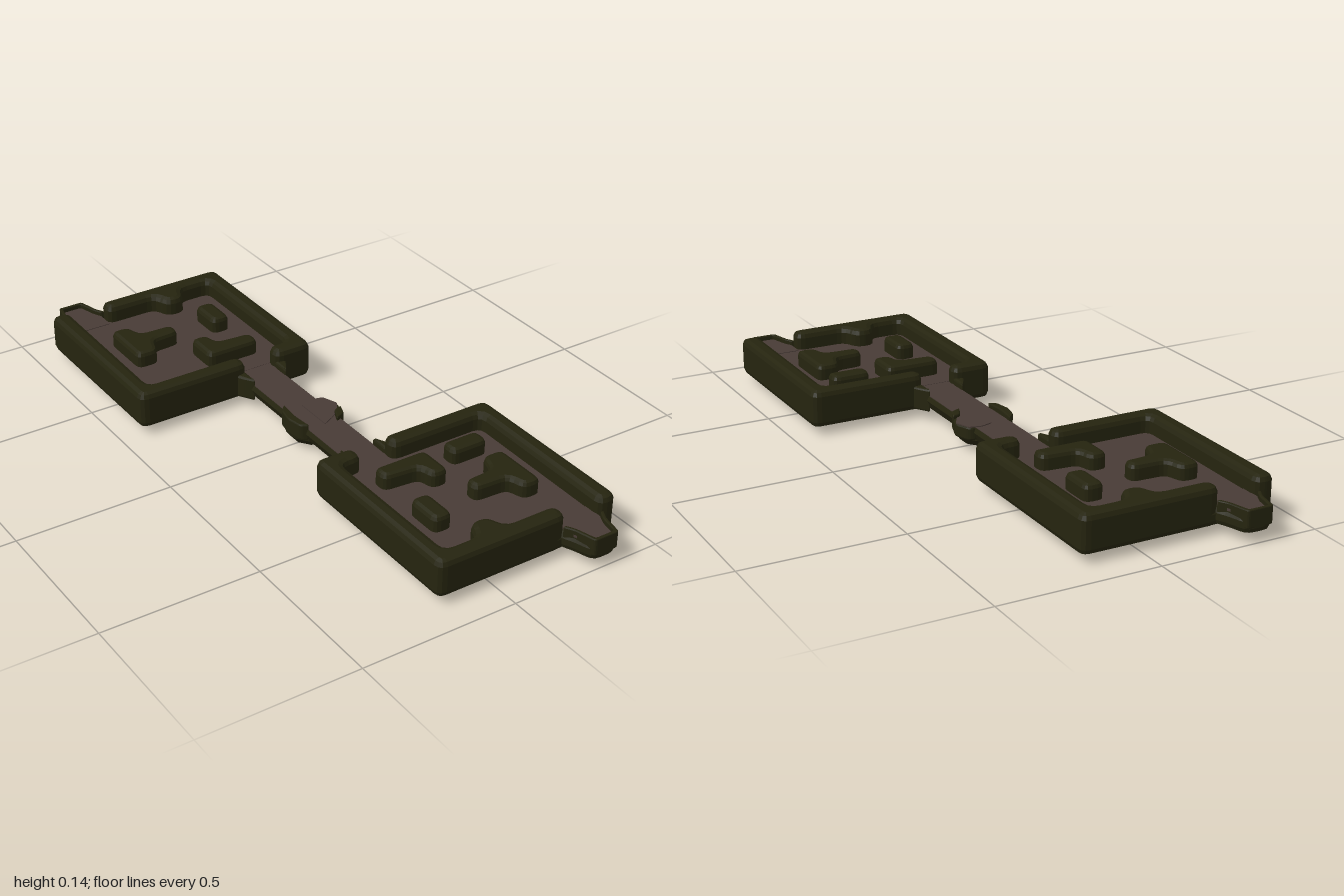
import * as THREE from 'three';

const stone = new THREE.MeshStandardMaterial({ color: 0x25240f });
stone.name = 'darkOliveStone';
const earth = new THREE.MeshStandardMaterial({ color: 0x483b36 });
earth.name = 'brownFloor';

function add(parent, name, geometry, material) {
  const mesh = new THREE.Mesh(geometry, material);
  mesh.name = name;
  parent.add(mesh);
  return mesh;
}

// Closed plan outline of [x, z] corners, each corner rounded by r
function outline(points, r) {
  const shape = new THREE.Shape();
  const v = points.map(([x, z]) => new THREE.Vector2(x, z));
  v.forEach((p, i) => {
    const toward = (q) => {
      const d = q.clone().sub(p);
      return p.clone().addScaledVector(d, Math.min(r / d.length(), 0.45));
    };
    const a = toward(v[(i + v.length - 1) % v.length]);
    const b = toward(v[(i + 1) % v.length]);
    if (i === 0) shape.moveTo(a.x, a.y);
    else shape.lineTo(a.x, a.y);
    shape.quadraticCurveTo(p.x, p.y, b.x, b.y);
  });
  shape.closePath();
  return shape;
}

// Slab between heights y0 and y1 whose softened edges stay inside the outline
function slab(points, y0, y1, bevel = 0, r = bevel * 1.3 + 0.004) {
  const g = new THREE.ExtrudeGeometry(outline(points, r), {
    depth: y1 - y0 - 2 * bevel, curveSegments: 3,
    bevelEnabled: bevel > 0, bevelSize: bevel, bevelThickness: bevel,
    bevelOffset: -bevel, bevelSegments: 2,
  });
  g.rotateX(Math.PI / 2);
  g.translate(0, y1 - bevel, 0);
  return g;
}

const rect = (x0, x1, z0, z1) => [[x0, z0], [x1, z0], [x1, z1], [x0, z1]];

function createRoom(name, withExtraBlock) {
  const room = new THREE.Group();
  room.name = name;

  // Base and floor
  add(room, 'base', slab(rect(-0.18, 0.43, 0.29, 0.9), 0.025, 0.083, 0.02), stone);
  add(room, 'floor', slab(rect(-0.14, 0.39, 0.335, 0.86), 0.08, 0.088), earth);

  // Walls on both sides of the two openings
  add(room, 'longWall', slab([
    [-0.055, 0.29], [-0.185, 0.29], [-0.185, 0.9], [0.25, 0.9], [0.25, 0.843],
    [0.08, 0.843], [0.06, 0.782], [0, 0.782], [-0.02, 0.843],
    [-0.128, 0.843], [-0.128, 0.347], [-0.055, 0.347],
  ], 0.025, 0.145, 0.018), stone);
  add(room, 'shortWall', slab([
    [0.055, 0.29], [0.432, 0.29], [0.432, 0.9], [0.37, 0.9],
    [0.375, 0.347], [0.055, 0.347],
  ], 0.025, 0.145, 0.018), stone);

  // Obstacles
  const obstacles = {
    tBlock: [[0.24, 0.53], [0.31, 0.53], [0.31, 0.715], [0.25, 0.715], [0.235, 0.655],
      [0.125, 0.65], [0.125, 0.6], [0.22, 0.595]],
    cornerBlock: [[-0.06, 0.41], [0.12, 0.41], [0.12, 0.53], [0.065, 0.53],
      [0.055, 0.475], [-0.06, 0.465]],
    uprightBlock: rect(-0.065, -0.003, 0.595, 0.715),
  };
  if (withExtraBlock) obstacles.crossBlock = rect(0.185, 0.31, 0.407, 0.467);
  for (const [key, points] of Object.entries(obstacles)) {
    add(room, key, slab(points, 0.06, 0.138, 0.014), stone);
  }

  // Exit ledge with a thin raised lip
  add(room, 'ledgeBase', slab([
    [0.235, 0.86], [0.4, 0.86], [0.395, 0.9], [0.37, 0.93], [0.355, 1], [0.27, 1], [0.25, 0.93], [0.235, 0.9],
  ], 0.03, 0.086, 0.018), stone);
  add(room, 'ledgeFloor', slab([
    [0.25, 0.84], [0.375, 0.84], [0.372, 0.92], [0.352, 0.99], [0.273, 0.99], [0.25, 0.92],
  ], 0.082, 0.09), earth);
  add(room, 'ledgeLip', slab([
    [0.237, 0.9], [0.254, 0.93], [0.272, 1], [0.355, 1], [0.369, 0.93], [0.385, 0.9],
    [0.373, 0.9], [0.358, 0.93], [0.346, 0.989], [0.281, 0.989], [0.265, 0.93], [0.25, 0.9],
  ], 0.05, 0.105, 0.003, 0.008), stone);

  // Flares where the bridge meets the wall
  for (const s of [-1, 1]) {
    add(room, 'bridgeFlare', slab([
      [s * 0.056, 0.235], [s * 0.056, 0.31], [s * 0.1, 0.31], [s * 0.082, 0.275],
    ], 0.032, 0.108, 0.007), stone);
  }
  return room;
}

function createBridge() {
  const bridge = new THREE.Group();
  bridge.name = 'bridge';

  // Rounded underside running between the rooms
  const section = new THREE.Shape([
    [-0.06, 0.085], [-0.065, 0.07], [-0.052, 0.042], [-0.03, 0.031],
    [0.03, 0.031], [0.052, 0.042], [0.065, 0.07], [0.06, 0.085],
  ].map(([x, y]) => new THREE.Vector2(x, y)));
  const beam = new THREE.ExtrudeGeometry(section, { depth: 0.66, bevelEnabled: false });
  beam.translate(0, 0, -0.33);
  add(bridge, 'beam', beam, stone);
  add(bridge, 'path', slab(rect(-0.058, 0.058, -0.36, 0.36), 0.08, 0.087), earth);

  // Faceted hub in the middle
  const profile = [[0, 0.003], [0.068, 0.019], [0.084, 0.04], [0.086, 0.07], [0.078, 0.085], [0, 0.085]];
  const hub = new THREE.LatheGeometry(profile.map(([x, y]) => new THREE.Vector2(x, y)), 10).toNonIndexed();
  hub.computeVertexNormals();
  add(bridge, 'hub', hub, stone);
  add(bridge, 'hubRim', slab([
    [-0.055, -0.075], [-0.08, -0.05], [-0.09, 0], [-0.08, 0.055], [-0.055, 0.07], [-0.062, 0],
  ], 0.05, 0.102, 0.004), stone);
  add(bridge, 'hubRim', slab([
    [0.04, 0.075], [0.075, 0.06], [0.09, 0.02], [0.06, 0.03],
  ], 0.05, 0.1, 0.004), stone);
  add(bridge, 'hubShoulder', slab([
    [0.05, -0.07], [0.08, -0.065], [0.1, -0.01], [0.085, 0.03], [0.05, 0.04],
  ], 0.045, 0.088, 0.006), stone);
  add(bridge, 'hubFloor', slab([
    [0.04, -0.072], [0.078, -0.062], [0.097, -0.012], [0.075, 0.025], [0.04, 0.05], [0, 0.07], [0, -0.06],
  ], 0.083, 0.09), earth);
  return bridge;
}

export function createModel() {
  const model = new THREE.Group();
  model.name = 'twinRoomArena';
  const backRoom = createRoom('backRoom', false);
  backRoom.rotation.y = Math.PI;
  model.add(createRoom('frontRoom', true), backRoom, createBridge());
  return model;
}
